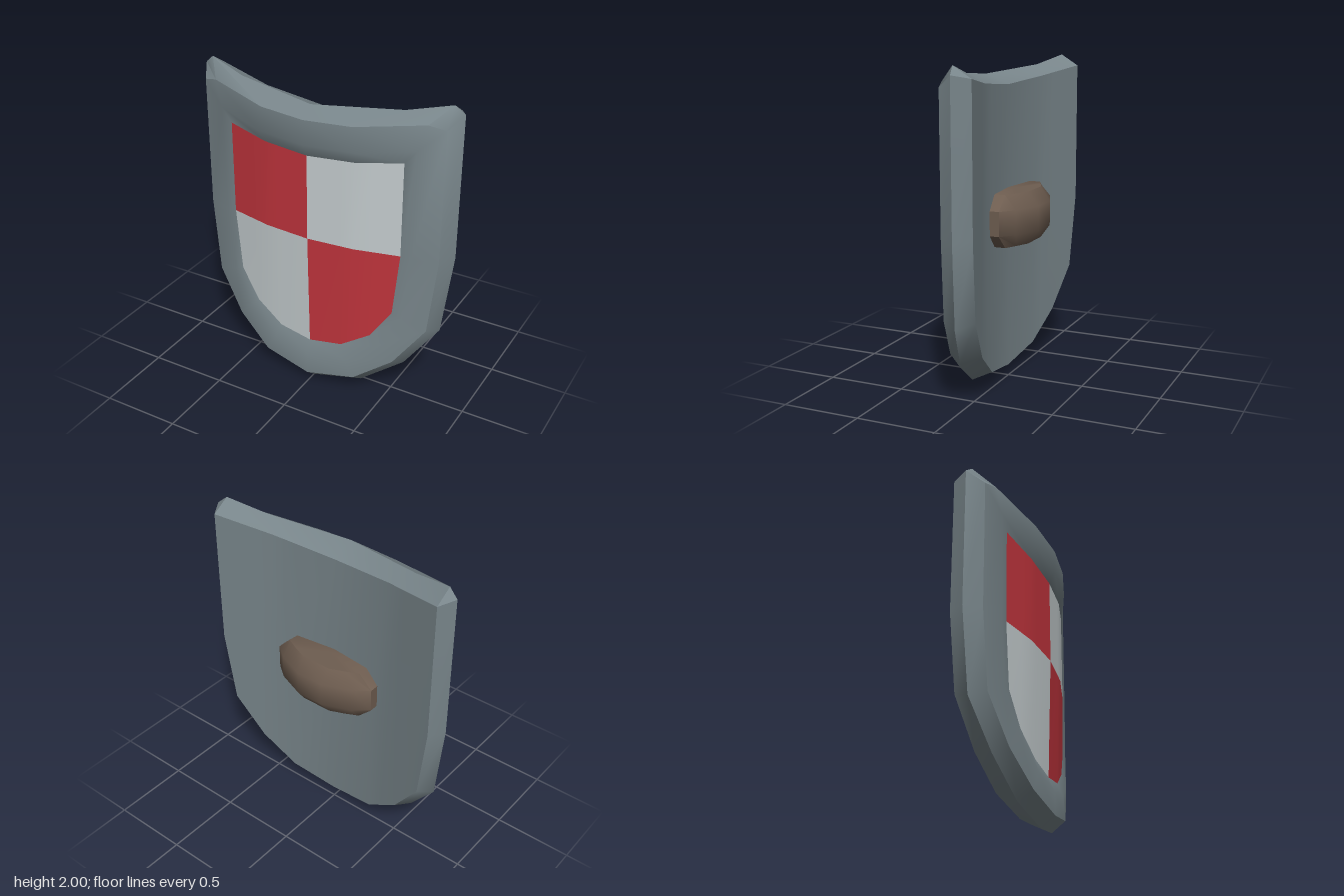
import * as THREE from 'three';
import { toCreasedNormals } from 'three/addons/utils/BufferGeometryUtils.js';

const material = (name, color) => {
  const m = new THREE.MeshStandardMaterial({ color });
  m.name = name;
  return m;
};

// Right halves of the outline loops, top centre round to bottom centre.
// Points 0-3 are the top edge and corner, points 4-8 the side and bottom.
const BACK = [[0, 1.85, 0], [0.42, 1.88, -0.048], [0.8, 1.93, -0.147], [0.8, 1.93, -0.147], [0.8, 1.05, -0.147],
  [0.74, 0.57, -0.13], [0.55, 0.3, -0.08], [0.32, 0.13, -0.035], [0, 0.07, 0]];
const EDGE = [[0, 1.91, 0.15], [0.54, 1.945, 0.037], [0.8, 2, -0.035], [0.86, 1.95, -0.05], [0.86, 1.05, -0.05],
  [0.8, 0.53, -0.03], [0.6, 0.26, 0.04], [0.33, 0.065, 0.095], [0, 0, 0.13]];
const FRONT = [[0, 1.845, 0.238], [0.3, 1.855, 0.207], [0.7, 1.905, 0.085], [0.8, 1.88, 0.05], [0.8, 1.05, 0.05],
  [0.75, 0.56, 0.065], [0.56, 0.3, 0.125], [0.32, 0.13, 0.185], [0, 0.07, 0.215]];
const INNER = [[0, 1.69, 0.238], [0.32, 1.7, 0.207], [0.65, 1.745, 0.105], [0.65, 1.745, 0.105], [0.645, 1.05, 0.105],
  [0.6, 0.63, 0.115], [0.46, 0.4, 0.155], [0.25, 0.255, 0.195], [0, 0.215, 0.215]];
const PANEL = [[0, 1.61, 0.2], [0.3, 1.625, 0.175], [0.58, 1.66, 0.11], [0.58, 1.66, 0.11], [0.58, 1.06, 0.11],
  [0.54, 0.65, 0.115], [0.41, 0.46, 0.14], [0.22, 0.34, 0.167], [0, 0.305, 0.178]];
const SPLIT = 1.06;

// Mirror a half outline into a closed loop
const closeLoop = (half) => [...half, ...half.slice(1, -1).reverse().map(([x, y, z]) => [-x, y, z])];

const quad = (out, a, b, c, d) => out.push(...a, ...b, ...c, ...a, ...c, ...d);

// Join successive closed loops with strips of quads
function loft(out, loops) {
  for (let k = 0; k + 1 < loops.length; k++) {
    const a = loops[k], b = loops[k + 1];
    a.forEach((p, i) => {
      const j = (i + 1) % a.length;
      quad(out, p, b[i], b[j], a[j]);
    });
  }
}

// Point of a chain at a given x
function sample(chain, x) {
  for (let i = 0; i + 1 < chain.length; i++) {
    const a = chain[i], b = chain[i + 1];
    const w = b[0] - a[0];
    if (w !== 0 && (x - a[0]) * (x - b[0]) <= 0) {
      const t = (x - a[0]) / w;
      return [x, a[1] + (b[1] - a[1]) * t, a[2] + (b[2] - a[2]) * t];
    }
  }
  return chain[0];
}

// Fill one quarter of a loop with vertical columns
function fillQuarter(out, half, side, upper, facing) {
  const top = half.slice(0, 4), bottom = half.slice(4);
  const xs = [...new Set(half.map((p) => p[0]))].sort((a, b) => a - b);
  const column = (x) => {
    const t = sample(top, x), b = sample(bottom, x);
    const mid = [x, Math.max(SPLIT, b[1]), t[2]];
    return (upper ? [mid, t] : [b, mid]).map(([px, y, z]) => [px * side, y, z]);
  };
  for (let i = 0; i + 1 < xs.length; i++) {
    const [a0, a1] = column(xs[i]), [b0, b1] = column(xs[i + 1]);
    if (side * facing > 0) quad(out, a0, b0, b1, a1);
    else quad(out, b0, a0, a1, b1);
  }
}

function makeMesh(name, positions, mat, crease = 0.66) {
  const g = new THREE.BufferGeometry();
  g.setAttribute('position', new THREE.Float32BufferAttribute(positions, 3));
  const mesh = new THREE.Mesh(toCreasedNormals(g, crease), mat);
  mesh.name = name;
  return mesh;
}

export function createModel() {
  const group = new THREE.Group();
  group.name = 'shield';
  const steel = material('steel', 0x78858a);
  const red = material('red paint', 0xc2353d);
  const white = material('white paint', 0xc6ced0);
  const leather = material('brown leather', 0x6e5d50);

  // Bevelled rim and curved back plate
  const rim = [];
  loft(rim, [BACK, EDGE, FRONT, INNER, PANEL].map(closeLoop));
  group.add(makeMesh('rim', rim, steel));
  const back = [];
  for (const side of [-1, 1]) for (const upper of [true, false]) fillQuarter(back, BACK, side, upper, -1);
  group.add(makeMesh('backPlate', back, steel));

  // Four painted quarters of the front
  for (const side of [-1, 1]) {
    for (const upper of [true, false]) {
      const quarter = [];
      fillQuarter(quarter, PANEL, side, upper, 1);
      const name = (upper ? 'upper' : 'lower') + (side > 0 ? 'Left' : 'Right') + 'Quarter';
      group.add(makeMesh(name, quarter, (side < 0) === upper ? red : white));
    }
  }

  // Rounded grip on the back, stacked from flat outlines
  const wide = [[0.36, 0], [0.36, -0.1], [0.27, -0.17], [0.09, -0.24]];
  const narrow = [[0.27, 0.02], [0.27, -0.1], [0.19, -0.138], [0.1, -0.175]];
  const outline = (half, y) =>
    [...half.map(([x, z]) => [-x, y, z]), ...half.slice().reverse().map(([x, z]) => [x, y, z])];
  const loops = [outline(narrow, 0.9), outline(wide, 0.985), outline(wide, 1.135), outline(narrow, 1.22)];
  const grip = [];
  loft(grip, loops);
  const cap = (loop, up) => loop.forEach((p, i) => {
    const q = loop[(i + 1) % loop.length], c = [0, p[1], -0.04];
    grip.push(...c, ...(up ? q : p), ...(up ? p : q));
  });
  cap(loops[0], false);
  cap(loops[3], true);
  group.add(makeMesh('grip', grip, leather, 0.8));

  return group;
}
